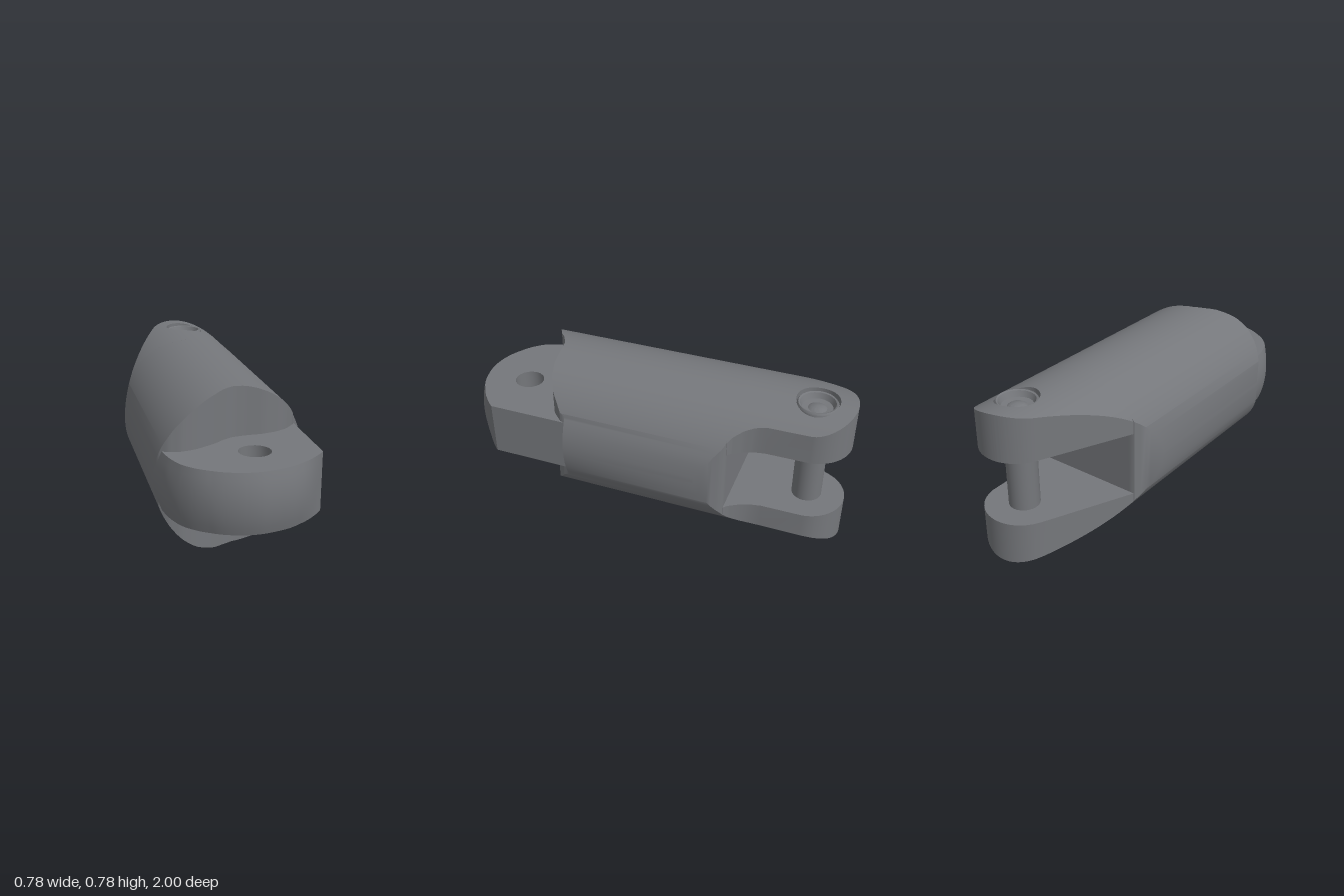
import * as THREE from 'three';
import { toCreasedNormals } from 'three/addons/utils/BufferGeometryUtils.js';

const R = 0.39;                       // barrel radius, also the height of its axis
const PIN = { x: 0.05, z: -0.81 };    // pin axis
const SLOT = { z: -0.45, low: 0.215, high: 0.545 };

const arc = (r, d) => Math.sqrt(Math.max(0, r * r - d * d));
const top = x => R + arc(R, x);
const bottom = x => R - arc(R, x);

function lerpTable(table, x) {
  for (let i = 1; i < table.length; i++) {
    const [x0, z0] = table[i - 1], [x1, z1] = table[i];
    if (x <= x1) return z0 + (z1 - z0) * Math.max(0, (x - x0) / (x1 - x0));
  }
  return table[table.length - 1][1];
}

// wavy front edge of the barrel
const FRONT = [[-0.39, 0.59], [-0.37, 0.63], [-0.33, 0.655], [-0.27, 0.665], [-0.2, 0.65], [-0.1, 0.595],
  [-0.05, 0.555], [0, 0.528], [0.06, 0.518], [0.15, 0.515], [0.22, 0.498], [0.28, 0.468], [0.335, 0.41],
  [0.345, 0.38], [0.39, 0.38]];
const front = x => lerpTable(FRONT, x);

// rear edge: straight taper, round end about the pin, then a concave neck
const NECK = [[0.24, -0.63], [0.25, -0.57], [0.27, -0.52], [0.3, -0.47], [0.34, -0.43], [0.375, -0.37], [0.39, -0.31]];
function rear(x) {
  if (x < -0.125) return -0.3 - (x + 0.39) * (0.585 / 0.265);
  if (x < 0.24) return PIN.z - arc(0.19, x - PIN.x);
  return lerpTable(NECK, x);
}

// solid made of one upright rectangle per x, joined along x
function slab(x0, x1, zBack, zFront, yLow, yHigh) {
  const xs = [x0, x1, 0.2, 0.22, 0.232, 0.2385, 0.241, 0.335, 0.345].filter(x => x >= x0 && x <= x1);
  const n = 48;
  for (let i = 1; i < n; i++) xs.push((x0 + x1) / 2 - (x1 - x0) / 2 * Math.cos(Math.PI * i / n));
  xs.sort((a, b) => a - b);
  const rings = xs.map(x => {
    const b = zBack(x), f = Math.max(b, zFront(x)), l = yLow(x), h = Math.max(l, yHigh(x));
    return [[x, l, b], [x, l, f], [x, h, f], [x, h, b]];
  });
  const pos = [];
  const quad = (a, b, c, d) => pos.push(...a, ...b, ...c, ...a, ...c, ...d);
  for (let i = 1; i < rings.length; i++) {
    const p = rings[i - 1], q = rings[i];
    for (let k = 0; k < 4; k++) quad(p[k], q[k], q[(k + 1) % 4], p[(k + 1) % 4]);
  }
  quad(...rings[0]);
  quad(...[...rings[rings.length - 1]].reverse());
  const g = new THREE.BufferGeometry();
  g.setAttribute('position', new THREE.Float32BufferAttribute(pos, 3));
  return toCreasedNormals(g, 0.6);
}

function tongueGeometry() {
  const low = 0.25, high = 0.535;
  const shape = new THREE.Shape();
  shape.moveTo(-0.388, 0.35);
  shape.lineTo(0.343, 0.35);
  shape.lineTo(0.343, 0.8);
  shape.splineThru([[0.26, 0.895], [0.18, 0.955], [0.1, 0.985], [0, 1], [-0.1, 0.985], [-0.2, 0.94],
    [-0.29, 0.86], [-0.355, 0.75], [-0.388, 0.6]].map(p => new THREE.Vector2(...p)));
  shape.closePath();
  const hole = new THREE.Path();
  hole.absarc(PIN.x, 0.73, 0.076, 0, Math.PI * 2, true);
  shape.holes.push(hole);
  const g = new THREE.ExtrudeGeometry(shape, { depth: high - low, steps: 8, bevelEnabled: false, curveSegments: 10 });
  g.rotateX(Math.PI / 2).translate(0, high, 0);
  // follow the barrel's roundness on the outer left side and the nose
  const p = g.attributes.position;
  for (let i = 0; i < p.count; i++) {
    const x = p.getX(i), z = p.getZ(i), d = p.getY(i) - R;
    if (x < -0.1) p.setX(i, x * (1 - (1 - arc(R, d) / R) * Math.min(1, (-x - 0.1) / 0.25)));
    if (z > 0.82) p.setZ(i, z - 1.2 * d * d * Math.min(1, (z - 0.82) / 0.12));
  }
  return toCreasedNormals(g, 0.6);
}

export function createModel() {
  const group = new THREE.Group();
  const metal = new THREE.MeshStandardMaterial({ color: 0x75777b });
  metal.name = 'grey metal';
  const add = (name, geometry, parent = group) => {
    const m = new THREE.Mesh(geometry, metal);
    m.name = name;
    parent.add(m);
    return m;
  };

  // barrel and front hinge tongue
  add('barrel', slab(-0.3899, 0.3899, x => Math.max(SLOT.z, rear(x)), front, bottom, top));
  add('hingeTongue', tongueGeometry());

  // rear fork
  const slotEnd = () => SLOT.z, x0 = -0.322, x1 = 0.318;
  add('lowerProng', slab(x0, x1, rear, slotEnd, bottom, () => SLOT.low));

  // upper prong, split around the round recess of the pin head
  const upper = new THREE.Group();
  upper.name = 'upperProng';
  group.add(upper);
  const r = 0.104, a = PIN.x - r, b = PIN.x + r, floor = 0.7;
  const slotTop = () => SLOT.high;
  const half = x => arc(r, x - PIN.x);
  add('prongLeftPart', slab(b, x1, rear, slotEnd, slotTop, top), upper);
  add('prongRightPart', slab(x0, a, rear, slotEnd, slotTop, top), upper);
  add('prongRearPart', slab(a, b, rear, x => PIN.z - half(x), slotTop, top), upper);
  add('prongFrontPart', slab(a, b, x => PIN.z + half(x), slotEnd, slotTop, top), upper);
  add('recessFloor', slab(a, b, x => PIN.z - half(x), x => PIN.z + half(x), slotTop, () => floor), upper);

  // hinge pin with a dished head
  const pin = new THREE.Group();
  pin.name = 'hingePin';
  group.add(pin);
  const shaft = add('pinShaft', new THREE.CylinderGeometry(0.075, 0.075, 0.37, 24), pin);
  shaft.position.set(PIN.x, 0.38, PIN.z);
  const profile = [[0.1, floor - 0.02], [0.1, 0.756], [0.094, 0.765], [0.086, 0.762], [0.074, 0.735], [0.045, 0.732],
    [0.03, 0.742], [0, 0.745]].map(p => new THREE.Vector2(...p));
  const head = add('pinHead', toCreasedNormals(new THREE.LatheGeometry(profile, 28), 0.6), pin);
  head.position.set(PIN.x, 0, PIN.z);
  return group;
}
